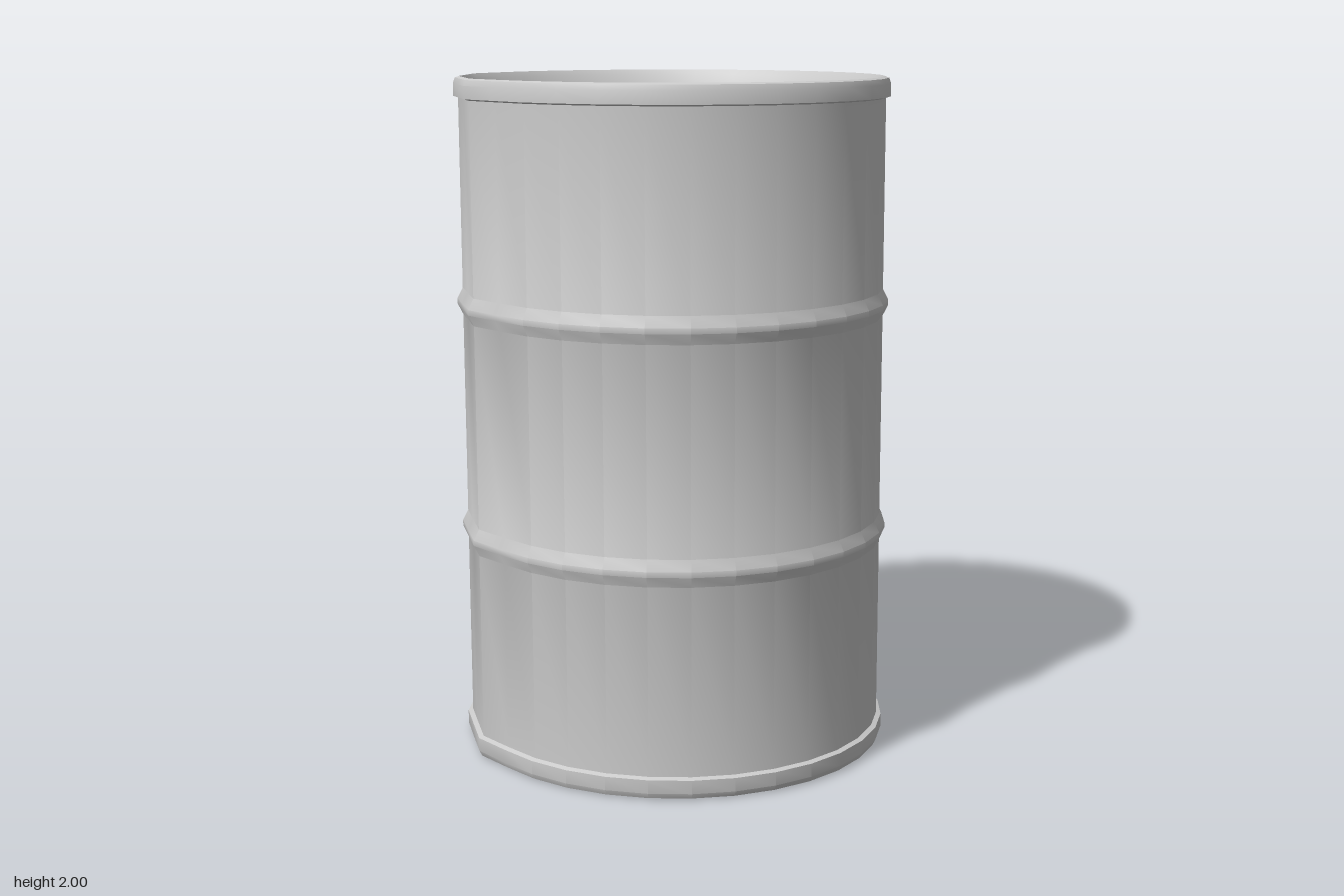
import * as THREE from 'three';
import { toCreasedNormals } from 'three/addons/utils/BufferGeometryUtils.js';

const SIDES = 32;
const CREASE = THREE.MathUtils.degToRad(28);
// radius factors of the dented back corner, by side number
const DENT = { 18: 1.03, 19: 1.002, 20: 1.012, 21: 1.002, 22: 1.03 };

export function createModel() {
  const group = new THREE.Group();
  const material = new THREE.MeshStandardMaterial({ color: 0xcccccc });

  // revolve a profile, then dent it and let it lean slightly to one side
  const addPart = (name, profile) => {
    const points = profile.map(([r, y]) => new THREE.Vector2(r, y));
    const geometry = new THREE.LatheGeometry(points, SIDES);
    const pos = geometry.attributes.position;
    for (let i = 0; i < pos.count; i++) {
      const side = Math.floor(i / points.length) % SIDES;
      const k = DENT[side] ?? 1;
      const y = pos.getY(i);
      pos.setX(i, pos.getX(i) * k + 0.006 * (1 - y));
      pos.setZ(i, pos.getZ(i) * k);
    }
    const mesh = new THREE.Mesh(toCreasedNormals(geometry, CREASE), material);
    mesh.name = name;
    group.add(mesh);
  };

  // outer wall with two raised hoops
  const rib = (y) => [[0.622, y - 0.04], [0.638, y - 0.008], [0.638, y + 0.008], [0.622, y + 0.04]];
  addPart('outerWall', [[0.622, 0.06], ...rib(0.66), ...rib(0.34 + 1), [0.622, 1.945]]);

  // rolled rims
  addPart('bottomRim', [[0.605, 0.02], [0.612, 0], [0.628, 0.004], [0.636, 0.02], [0.636, 0.06], [0.62, 0.066]]);
  addPart('topRim', [
    [0.62, 1.938], [0.636, 1.943], [0.636, 1.98], [0.63, 1.996], [0.618, 2],
    [0.608, 1.985], [0.59, 1.945], [0.58, 1.91],
  ]);

  // inside of the drum
  addPart('innerWall', [[0.58, 1.91], [0.577, 0.05]]);
  addPart('innerFloor', [[0.577, 0.05], [0, 0.05]]);
  addPart('underside', [[0, 0.02], [0.606, 0.02]]);

  return group;
}
